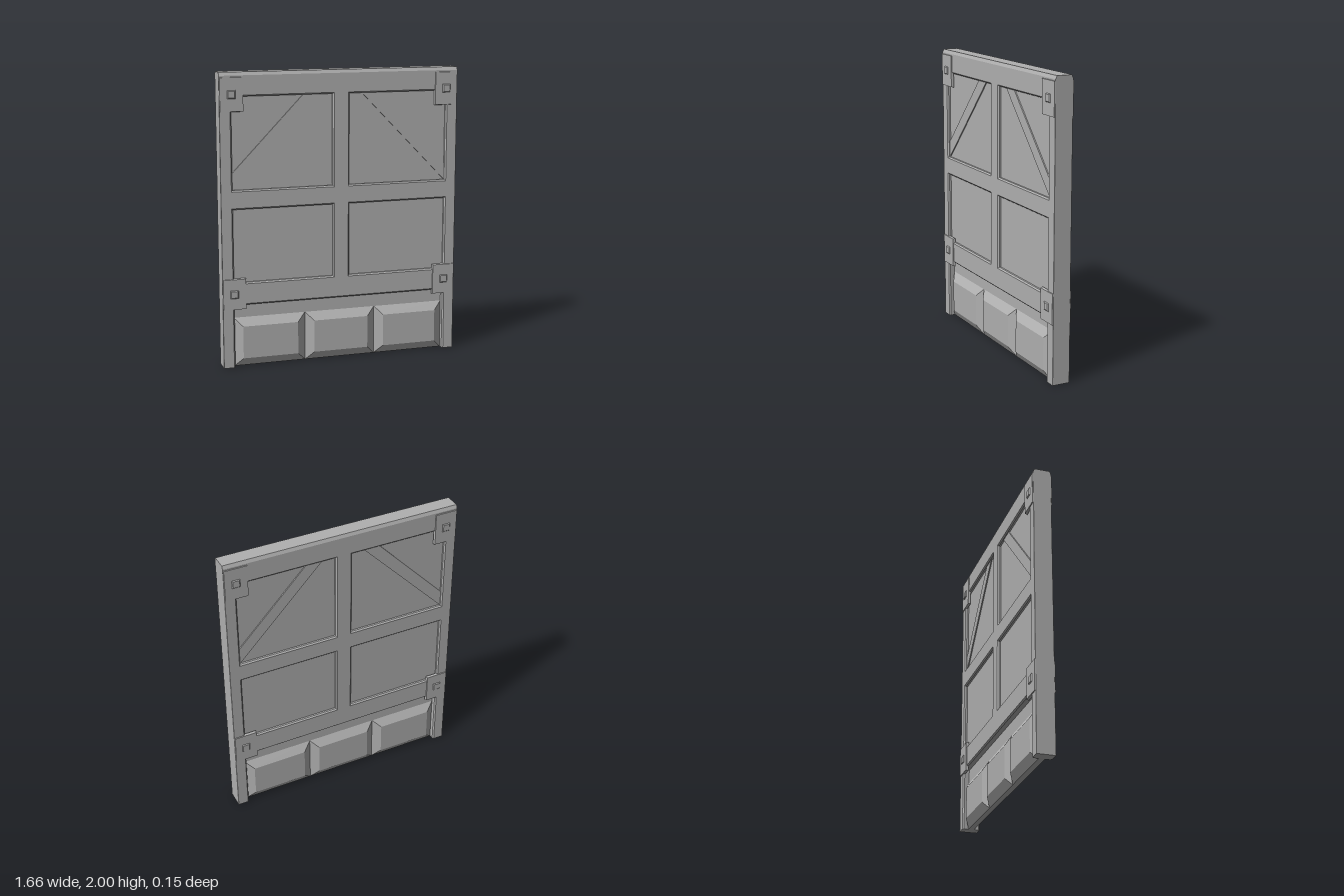
import * as THREE from 'three';

const FRAME_Z = 0.062; // half thickness of the frame
const PANEL_Z = 0.04; // half thickness of the upper panels
const BASE_Z = 0.02; // half thickness of the lower panel
const CHAMFER = 0.009;

const grey = new THREE.MeshStandardMaterial({ color: 0xb0b0b0 });
grey.name = 'grey';

function add(parent, name, geometry, x = 0, y = 0, z = 0) {
  const mesh = new THREE.Mesh(geometry, grey);
  mesh.name = name;
  mesh.position.set(x, y, z);
  parent.add(mesh);
  return mesh;
}

// Bar section from u0 to u1 with its own chamfer [along u, along z] on each edge
function section(u0, u1, c0, c1) {
  const z = FRAME_Z;
  return [
    [u0, -z + c0[1]], [u0 + c0[0], -z], [u1 - c1[0], -z], [u1, -z + c1[1]],
    [u1, z - c1[1]], [u1 - c1[0], z], [u0 + c0[0], z], [u0, z - c0[1]],
  ];
}

function extrude(points, depth) {
  const shape = new THREE.Shape(points.map(([x, y]) => new THREE.Vector2(x, y)));
  return new THREE.ExtrudeGeometry(shape, { depth, bevelEnabled: false });
}

const edge = [CHAMFER, CHAMFER];
const square = [0.001, 0.001];

// Horizontal rail centred on x
function rail(parent, name, y0, y1, halfWidth, top = edge) {
  const points = section(y0, y1, edge, top).map(([u, z]) => [z, u]);
  const geometry = extrude(points, halfWidth * 2);
  geometry.translate(0, 0, -halfWidth).rotateY(Math.PI / 2);
  return add(parent, name, geometry);
}

// Upright post standing from y0 to y1
function post(parent, name, x0, x1, y0, y1, c0, c1) {
  const geometry = extrude(section(x0, x1, c0, c1), y1 - y0);
  geometry.rotateX(-Math.PI / 2);
  return add(parent, name, geometry, 0, y0);
}

// Block whose front face is inset, standing on z = 0
function taperedBlock(w, h, d, inset) {
  const geometry = new THREE.BoxGeometry(w, h, d).translate(0, 0, d / 2);
  const p = geometry.attributes.position;
  for (let i = 0; i < p.count; i++) {
    if (p.getZ(i) < d / 2) continue;
    p.setX(i, p.getX(i) - Math.sign(p.getX(i)) * inset);
    p.setY(i, p.getY(i) - Math.sign(p.getY(i)) * inset);
  }
  geometry.computeVertexNormals();
  return geometry;
}

// Details that appear on both faces of the door
function createFace(name) {
  const face = new THREE.Group();
  face.name = name;

  // Raised blocks along the foot
  for (const x of [-0.5, 0, 0.5]) {
    add(face, 'raisedBlock', taperedBlock(0.5, 0.34, 0.036, 0.058), x, 0.17, BASE_Z);
  }

  for (const side of [-1, 1]) {
    // Diagonal brace across the upper pane
    const brace = [[0.757, 1.212], [0.757, 1.325], [0.255, 1.847], [0.142, 1.847]];
    const points = brace.map(([x, y]) => [x * side, y]);
    add(face, 'diagonalBrace', extrude(points, 0.009), 0, 0, PANEL_Z - 0.001);

    // Corner plates with square studs
    for (const [y0, y1, studY] of [[1.74, 1.97, 1.855], [0.405, 0.62, 0.513]]) {
      const plate = taperedBlock(0.163, y1 - y0, 0.018, 0.004);
      add(face, 'cornerPlate', plate, side * 0.7485, (y0 + y1) / 2, 0.05);
      add(face, 'stud', taperedBlock(0.062, 0.062, 0.009, 0.009), side * 0.75, studY, 0.065);
    }
  }
  return face;
}

export function createModel() {
  const door = new THREE.Group();
  door.name = 'panelledDoor';

  // Recessed panels
  add(door, 'upperPanel', new THREE.BoxGeometry(1.53, 1.4, PANEL_Z * 2), 0, 1.2);
  add(door, 'lowerPanel', new THREE.BoxGeometry(1.53, 0.52, BASE_Z * 2), 0, 0.26);

  // Side posts and centre post
  post(door, 'leftPost', 0.75, 0.83, 0, 1.86, edge, square);
  post(door, 'rightPost', -0.83, -0.75, 0, 1.86, square, edge);
  post(door, 'centrePost', -0.058, 0.058, 0.575, 1.855, edge, edge);

  // Rails
  rail(door, 'topRail', 1.84, 2, 0.83, [0.022, 0.01]);
  rail(door, 'middleRail', 1.09, 1.22, 0.76);
  rail(door, 'lowerRail', 0.435, 0.59, 0.76);

  // Matching faces
  const front = createFace('frontFace');
  const back = createFace('backFace');
  back.rotation.y = Math.PI;
  door.add(front, back);
  return door;
}
